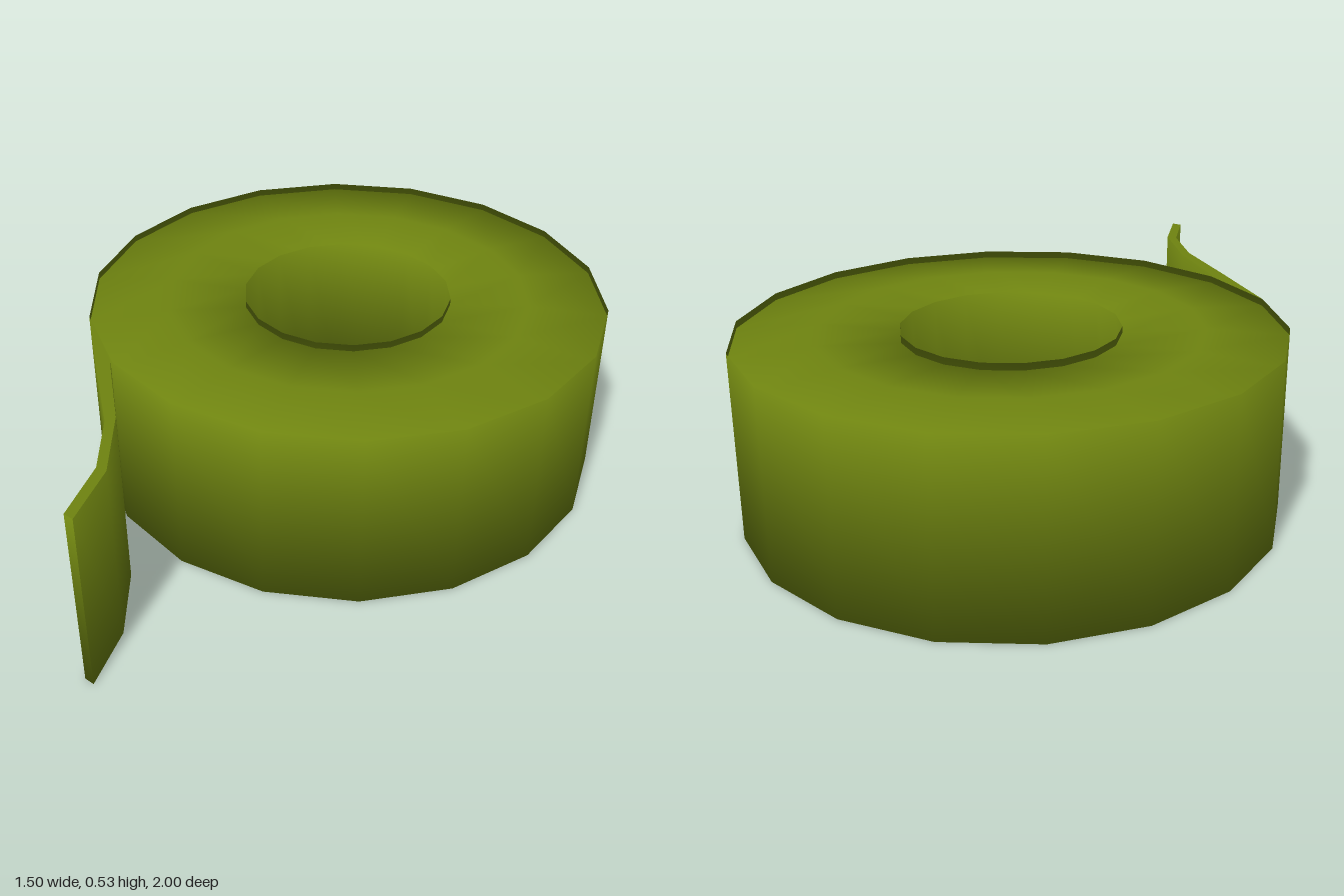
import * as THREE from 'three';
import { toCreasedNormals } from 'three/addons/utils/BufferGeometryUtils.js';

const SIDES = 18;
const OUTER = 0.76, INNER = 0.305, MIDDLE = (OUTER + INNER) / 2;
const BOTTOM = 0.004, TOP = 0.538;
const EDGE_RECESS = 0.02, CREST_RECESS = 0.004;

const material = new THREE.MeshStandardMaterial({ color: 0x6f8410, side: THREE.DoubleSide });

// Ring-shaped surface through [radius, y] points.
// Each point carries a soft [radial, up] normal so that the corners shade as rounded.
function ring(name, points, normals) {
  const profile = points.map(([r, y]) => new THREE.Vector2(r, y));
  const geometry = new THREE.LatheGeometry(profile, SIDES);
  const { position, normal } = geometry.attributes;
  const n = new THREE.Vector3();
  for (let i = 0; i < position.count; i++) {
    const [radial, up] = normals[i % points.length];
    const a = Math.atan2(position.getX(i), position.getZ(i));
    n.set(Math.sin(a) * radial, up, Math.cos(a) * radial).normalize();
    normal.setXYZ(i, n.x, n.y, n.z);
  }
  const mesh = new THREE.Mesh(geometry, material);
  mesh.name = name;
  return mesh;
}

export function createModel() {
  const model = new THREE.Group();
  model.name = 'tapeRoll';

  // Wound roll: thin outer layer and core, with slightly domed side faces between them
  const roll = new THREE.Group();
  roll.name = 'roll';
  roll.position.z = -0.24;
  roll.add(
    ring('outerLayer', [[OUTER, BOTTOM], [OUTER, TOP]], [[1, -0.8], [1, 0.8]]),
    ring('core', [[INNER, TOP], [INNER, BOTTOM]], [[-1, 0.8], [-1, -0.8]]),
    ring('topFace',
      [[OUTER, TOP - EDGE_RECESS], [MIDDLE, TOP - CREST_RECESS], [INNER, TOP - EDGE_RECESS]],
      [[0.8, 1], [0, 1], [-0.8, 1]]),
    ring('bottomFace',
      [[INNER, BOTTOM + EDGE_RECESS], [MIDDLE, BOTTOM + CREST_RECESS], [OUTER, BOTTOM + EDGE_RECESS]],
      [[-0.8, -1], [0, -1], [0.8, -1]]),
  );
  model.add(roll);

  // Loose end of the tape, peeling away at the front; points are [x, z]
  const outline = [
    [-0.489, 0.342], [-0.27, 0.525], [-0.08, 0.68], [0.045, 0.83], [0.115, 1],
    [0.145, 1], [0.075, 0.825], [-0.07, 0.65], [-0.255, 0.488], [-0.27, 0.472],
  ];
  const shape = new THREE.Shape(outline.map(([x, z]) => new THREE.Vector2(x, -z)));
  const extruded = new THREE.ExtrudeGeometry(shape, { depth: TOP - BOTTOM, bevelEnabled: false });
  extruded.rotateX(-Math.PI / 2).translate(0, BOTTOM, 0);
  const geometry = toCreasedNormals(extruded, 0.7);

  // Lean its wall normals up and down at the edges, to shade like the roll
  const { position, normal } = geometry.attributes;
  const n = new THREE.Vector3();
  for (let i = 0; i < normal.count; i++) {
    n.fromBufferAttribute(normal, i);
    if (Math.abs(n.y) > 0.5) continue;
    n.y = position.getY(i) > TOP / 2 ? 0.8 : -0.8;
    n.normalize();
    normal.setXYZ(i, n.x, n.y, n.z);
  }
  const tail = new THREE.Mesh(geometry, material);
  tail.name = 'looseEnd';
  model.add(tail);

  return model;
}
